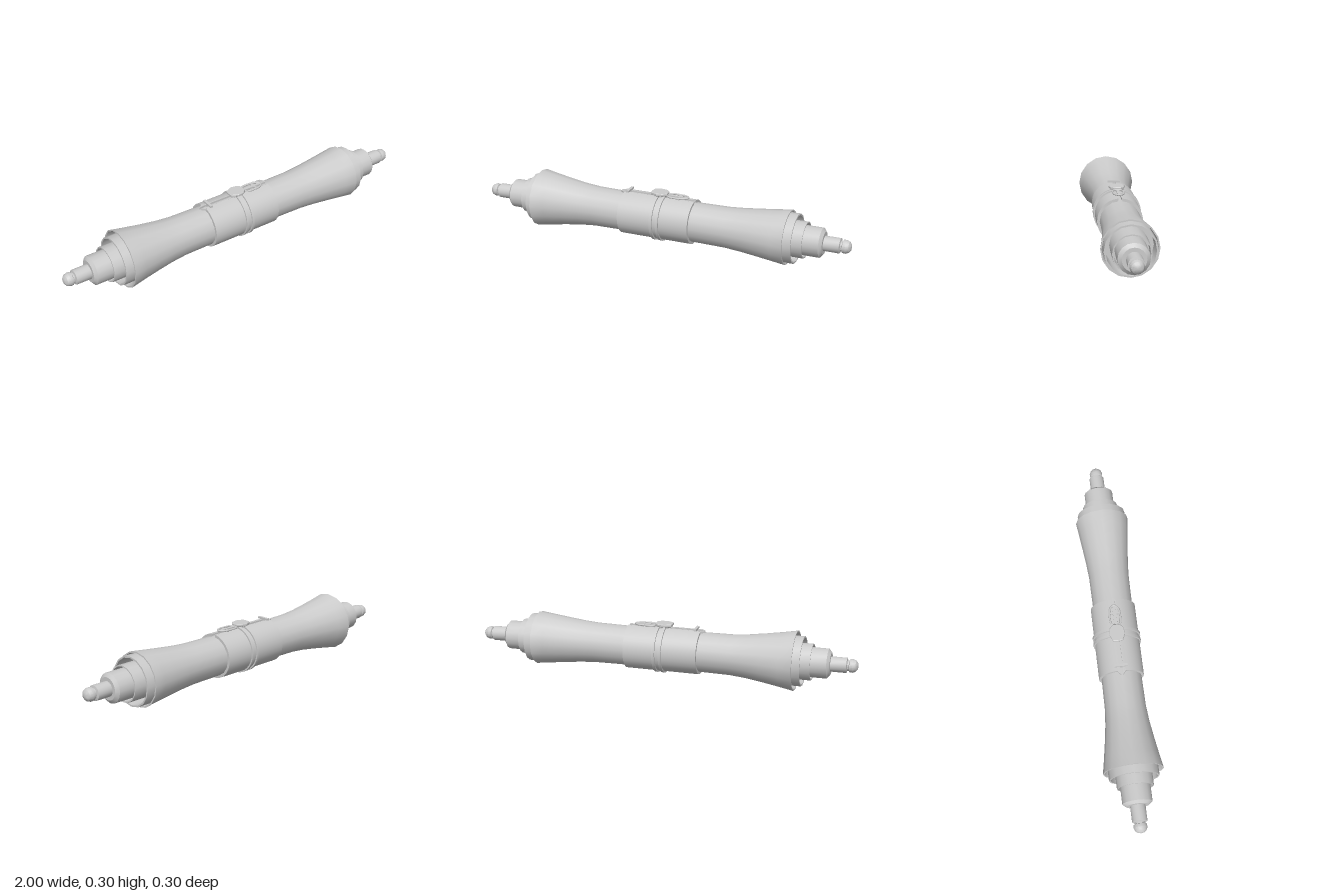
import * as THREE from 'three';
import { toCreasedNormals } from 'three/addons/utils/BufferGeometryUtils.js';

const AXIS_Y = 0.153;
const material = new THREE.MeshStandardMaterial({ color: 0xcccccc, side: THREE.DoubleSide });

export function createModel() {
  const model = new THREE.Group();

  function add(name, geometry, x = 0, y = 0, z = 0, parent = model) {
    const mesh = new THREE.Mesh(geometry, material);
    mesh.name = name;
    mesh.position.set(x, y, z);
    parent.add(mesh);
    return mesh;
  }

  // Profile of [x, radius] pairs turned about the long axis; slit leaves a gap at the top.
  function turned(name, profile, sides = 16, slit = 0) {
    const points = profile.map(([x, r]) => new THREE.Vector2(r, x));
    const lathe = new THREE.LatheGeometry(points, sides, Math.PI * 1.5 + slit, Math.PI * 2 - 2 * slit);
    lathe.rotateZ(-Math.PI / 2);
    return add(name, toCreasedNormals(lathe, 0.5), 0, AXIS_Y);
  }

  // Flat outline in x and z, given thickness upwards.
  function plate(name, outline, thickness, y, bevel = 0) {
    const shape = new THREE.Shape(outline.map(([x, z]) => new THREE.Vector2(x, -z)));
    const geometry = new THREE.ExtrudeGeometry(shape, {
      depth: thickness, bevelEnabled: bevel > 0, bevelSize: bevel, bevelThickness: bevel, bevelSegments: 1,
    });
    geometry.rotateX(-Math.PI / 2);
    return add(name, geometry, 0, y, 0);
  }

  // Slim waist flaring to a thin rim at both ends
  turned('flaredBody', [
    [-0.66, 0.128], [-0.69, 0.145], [-0.69, 0.152], [-0.62, 0.139], [-0.53, 0.124], [-0.44, 0.111],
    [-0.36, 0.104], [-0.2, 0.102], [0.2, 0.102], [0.36, 0.104],
    [0.44, 0.11], [0.53, 0.12], [0.62, 0.131], [0.685, 0.139], [0.685, 0.132], [0.655, 0.127],
  ]);

  // Nested end cups, stepped core and pin, mirrored
  for (const s of [-1, 1]) {
    const side = s < 0 ? 'right' : 'left';
    const run = (name, profile, sides) =>
      turned(side + name, (s < 0 ? [...profile].reverse() : profile).map(([x, r]) => [s * x, r]), sides);
    run('OuterCup', [[0.6, 0.125], [0.726, 0.126], [0.726, 0.118], [0.62, 0.116], [0.62, 0.085]]);
    run('InnerCup', [[0.6, 0.092], [0.772, 0.092], [0.772, 0.086], [0.7, 0.085], [0.7, 0.07]]);
    run('Core', [[0.68, 0.075], [0.85, 0.075], [0.864, 0.057], [0.864, 0.03]]);
    run('Pin', [
      [0.85, 0.038], [0.943, 0.038], [0.946, 0.026], [0.954, 0.026], [0.957, 0.033],
      [0.972, 0.034], [0.987, 0.028], [0.996, 0.017], [1, 0],
    ]);
  }

  // Split sleeve wrapped round the waist
  turned('splitSleeve', [
    [-0.2, 0.1], [-0.2, 0.115], [0.185, 0.115], [0.185, 0.1],
  ], 32, 0.11);

  // Two clamp bands
  for (const x of [-0.012, 0.022]) {
    turned('clampBand', [
      [x - 0.007, 0.112], [x - 0.007, 0.123], [x + 0.007, 0.123], [x + 0.007, 0.112],
    ], 32);
  }

  // Edge strips along the slit, flaring at their outer tips
  for (const s of [-1, 1]) {
    plate('slitEdge', [
      [-0.222, 0.004 * s], [-0.2, 0.024 * s], [-0.185, 0.015 * s],
      [0.185, 0.015 * s], [0.185, 0.009 * s], [-0.19, 0.009 * s],
    ], 0.01, 0.257);
  }

  // Small cross clip with a post
  add('clipPost', new THREE.BoxGeometry(0.01, 0.03, 0.012), -0.175, 0.264, 0);
  add('clipBar', new THREE.BoxGeometry(0.014, 0.01, 0.066), -0.175, 0.275, 0);

  // Buckle plate over the bands
  add('buckleBase', new THREE.BoxGeometry(0.06, 0.026, 0.04), 0, 0.265, 0);
  plate('bucklePlate', [
    [-0.047, 0], [-0.045, -0.022], [-0.012, -0.037], [0.02, -0.032],
    [0.036, -0.016], [0.036, 0.016], [0.02, 0.032], [-0.012, 0.037], [-0.045, 0.022],
  ], 0.009, 0.279, 0.003);

  // Oval latch loop with a tongue through it
  const loop = new THREE.CatmullRomCurve3([
    [0.045, -0.02], [0.09, -0.027], [0.13, -0.021], [0.148, 0], [0.13, 0.021], [0.09, 0.027], [0.045, 0.02],
  ].map(([x, z]) => new THREE.Vector3(x, 0.277, z)), true);
  add('latchLoop', new THREE.TubeGeometry(loop, 40, 0.005, 8, true));
  add('latchTongue', new THREE.BoxGeometry(0.12, 0.007, 0.016), 0.09, 0.276, 0);
  add('latchCrossbar', new THREE.BoxGeometry(0.01, 0.01, 0.05), 0.105, 0.273, 0);
  add('latchPost', new THREE.BoxGeometry(0.014, 0.03, 0.012), 0.07, 0.262, 0);

  return model;
}
